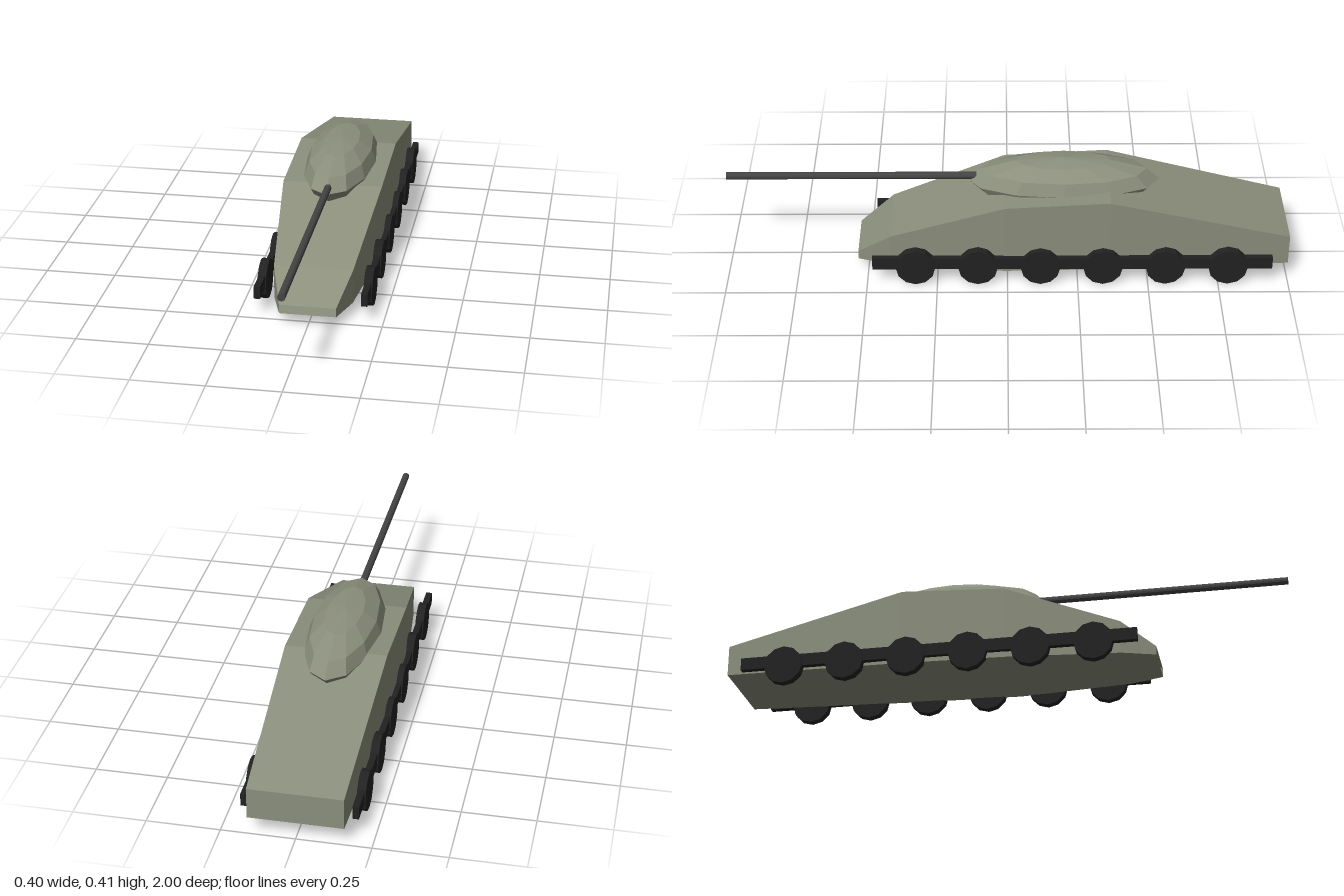
import * as THREE from 'three';

const paint = (color, side = THREE.FrontSide) =>
  new THREE.MeshStandardMaterial({ color, flatShading: true, side });

function addMesh(parent, name, geometry, material, x = 0, y = 0, z = 0) {
  const mesh = new THREE.Mesh(geometry, material);
  mesh.name = name;
  mesh.position.set(x, y, z);
  parent.add(mesh);
  return mesh;
}

// Hull shell lofted through rectangular sections, open at the nose, closed at the rear
function hullGeometry() {
  // z, half width, bottom, top
  const sections = [
    [0.535, 0.098, 0.042, 0.074],
    [0.415, 0.137, 0.042, 0.163],
    [0.01, 0.178, 0.042, 0.307],
    [-0.36, 0.178, 0.049, 0.328],
    [-1, 0.16, 0.063, 0.174],
  ];
  const positions = [];
  const indices = [];
  for (const [z, w, b, t] of sections) {
    positions.push(-w, b, z, w, b, z, w, t, z, -w, t, z);
  }
  for (let s = 0; s < sections.length - 1; s++) {
    for (let i = 0; i < 4; i++) {
      const a = s * 4 + i;
      const b = s * 4 + ((i + 1) % 4);
      indices.push(a, a + 4, b, b, a + 4, b + 4);
    }
  }
  const r = (sections.length - 1) * 4;
  indices.push(r, r + 3, r + 2, r, r + 2, r + 1);
  const geometry = new THREE.BufferGeometry();
  geometry.setAttribute('position', new THREE.Float32BufferAttribute(positions, 3));
  geometry.setIndex(indices);
  const flat = geometry.toNonIndexed();
  flat.computeVertexNormals();
  return flat;
}

export function createModel() {
  const model = new THREE.Group();
  model.name = 'tank';
  const armour = paint(0x8b8f7c, THREE.DoubleSide);
  const steel = paint(0x444444);
  const rubber = paint(0x222222);

  addMesh(model, 'hull', hullGeometry(), armour);

  // Turret: faceted, flattened ellipsoid
  const dome = new THREE.SphereGeometry(1, 12, 6).scale(0.127, 0.09, 0.34);
  addMesh(model, 'turret', dome, armour, 0, 0.318, -0.2);

  // Gun barrel
  const barrel = new THREE.CylinderGeometry(0.013, 0.013, 0.95, 12).rotateX(Math.PI / 2);
  addMesh(model, 'gunBarrel', barrel, steel, 0, 0.333, 0.525);

  // Running gear, mirrored on both sides
  const bar = new THREE.BoxGeometry(0.022, 0.045, 1.42);
  const wheel = new THREE.CylinderGeometry(0.07, 0.07, 0.03, 12).rotateZ(Math.PI / 2);
  for (const side of [1, -1]) {
    const gear = new THREE.Group();
    gear.name = side > 0 ? 'leftRunningGear' : 'rightRunningGear';
    addMesh(gear, 'trackBar', bar, rubber, side * 0.185, 0.085, -0.23);
    for (let i = 0; i < 6; i++) {
      addMesh(gear, 'roadWheel', wheel, rubber, side * 0.185, 0.07, 0.327 - i * 0.222);
    }
    model.add(gear);
  }
  return model;
}
